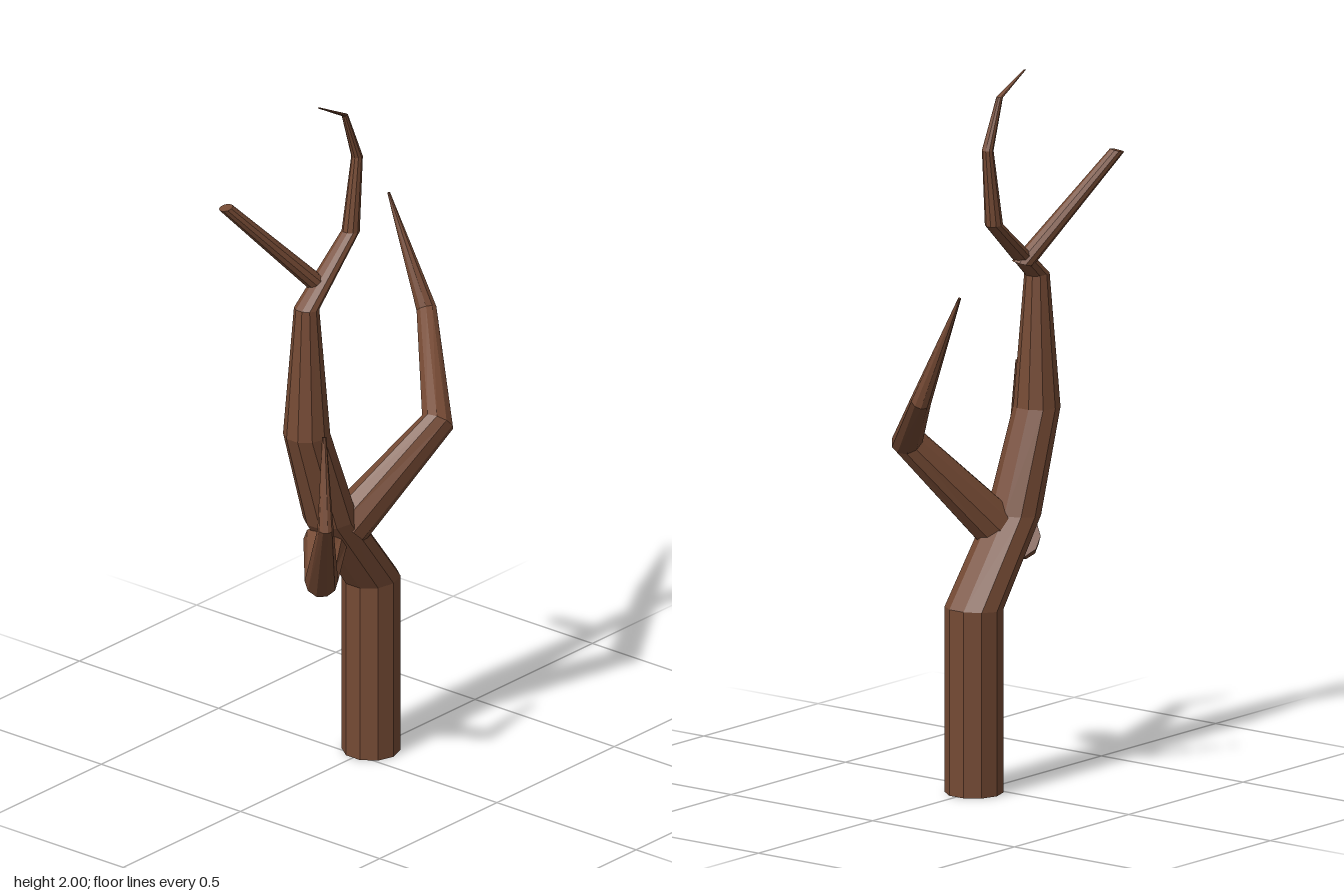
import * as THREE from 'three';

const SIDES = 10;

// Faceted limb lofted through points [x, y, z, radius]; upright > 0 levels the rings.
function limb(name, points, upright, material) {
  const centres = points.map(([x, y, z]) => new THREE.Vector3(x, y, z));
  const count = centres.length;
  const segment = centres.slice(1).map((p, i) => p.clone().sub(centres[i]).normalize());
  const positions = [];
  const index = [];
  const turn = new THREE.Quaternion();
  const last = new THREE.Vector3(0, 1, 0);

  centres.forEach((centre, j) => {
    const normal = segment[Math.max(j - 1, 0)].clone().add(segment[Math.min(j, count - 2)]).normalize();
    normal.y += upright;
    normal.normalize();
    // Carry the ring on from the previous one without twist
    turn.premultiply(new THREE.Quaternion().setFromUnitVectors(last, normal));
    last.copy(normal);
    for (let i = 0; i < SIDES; i++) {
      const a = (i / SIDES) * Math.PI * 2;
      const r = points[j][3];
      const p = new THREE.Vector3(Math.cos(a) * r, 0, Math.sin(a) * r).applyQuaternion(turn).add(centre);
      positions.push(p.x, p.y, p.z);
    }
  });
  for (const end of [centres[0], centres[count - 1]]) positions.push(end.x, end.y, end.z);

  const base = count * SIDES;
  for (let i = 0; i < SIDES; i++) {
    const k = (i + 1) % SIDES;
    for (let j = 0; j < count - 1; j++) {
      const a = j * SIDES + i, b = j * SIDES + k;
      index.push(a, a + SIDES, b, b, a + SIDES, b + SIDES);
    }
    const top = (count - 1) * SIDES;
    index.push(base, i, k, base + 1, top + k, top + i);
  }

  const indexed = new THREE.BufferGeometry();
  indexed.setAttribute('position', new THREE.Float32BufferAttribute(positions, 3));
  indexed.setIndex(index);
  const geometry = indexed.toNonIndexed();
  geometry.computeVertexNormals();
  const mesh = new THREE.Mesh(geometry, material);
  mesh.name = name;
  return mesh;
}

export function createModel() {
  const bark = new THREE.MeshStandardMaterial({ color: 0x754a34, flatShading: true });
  bark.name = 'bark brown';

  const tree = new THREE.Group();
  tree.name = 'bareTree';
  tree.add(
    // Trunk bending forward, then back, to a hooked tip
    limb('trunk', [
      [0, 0, -0.057, 0.081], [0, 0.52, -0.057, 0.081], [0, 0.755, 0.117, 0.075],
      [0, 1.04, 0.218, 0.065], [0, 1.415, 0.218, 0.035], [0, 1.585, 0.03, 0.025],
      [0, 1.8, 0.003, 0.016], [0, 1.94, 0.055, 0.009], [0, 1.998, 0.165, 0.003],
    ], 4, bark),
    // Long crooked branch sweeping to the back
    limb('backBranch', [
      [0.02, 0.72, 0.07, 0.067], [0.152, 0.99, -0.16, 0.047],
      [-0.09, 1.18, -0.4, 0.029], [-0.228, 1.49, -0.402, 0.004],
    ], 0, bark),
    // Drooping branch that turns up at the front
    limb('frontBranch', [
      [-0.005, 0.69, 0.13, 0.062], [0.08, 0.63, 0.25, 0.046],
      [0.207, 0.867, 0.383, 0.022], [0.172, 1.12, 0.347, 0.006],
    ], 0, bark),
    // Short cut-off stub near the top
    limb('upperStub', [
      [-0.005, 1.455, 0.15, 0.03], [-0.128, 1.745, 0.41, 0.02],
    ], 2, bark),
  );
  return tree;
}
